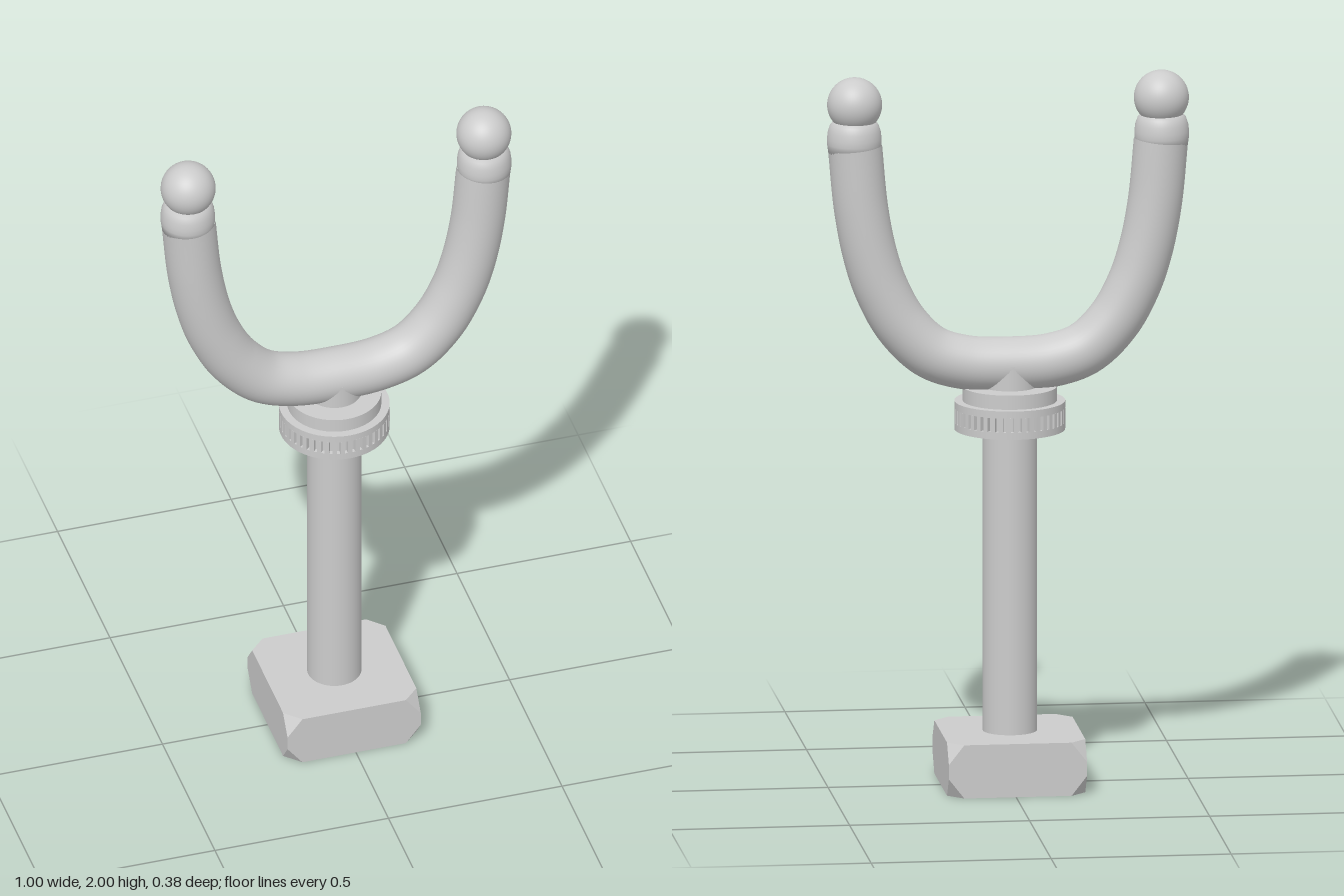
import * as THREE from 'three';
import { ConvexGeometry } from 'three/addons/geometries/ConvexGeometry.js';

const material = new THREE.MeshStandardMaterial({ color: 0xcccccc });
const AXIS_X = -0.005; // the stem sits a hair off the fork's centre

function add(parent, name, geometry, x = 0, y = 0, z = 0) {
  const mesh = new THREE.Mesh(geometry, material);
  mesh.name = name;
  mesh.position.set(x, y, z);
  parent.add(mesh);
  return mesh;
}

// upright cylinder from y0 to y1
function disc(parent, name, r, y0, y1, sides = 64) {
  return add(parent, name, new THREE.CylinderGeometry(r, r, y1 - y0, sides), AXIS_X, (y0 + y1) / 2);
}

// block with its eight corners cut off
function cutCornerBlock(w, h, d, cut, cutY) {
  const points = [];
  for (const sx of [-1, 1]) for (const sy of [-1, 1]) for (const sz of [-1, 1]) {
    const x = sx * w / 2, y = sy * h / 2, z = sz * d / 2;
    points.push(
      new THREE.Vector3(x - sx * cut, y, z),
      new THREE.Vector3(x, y - sy * cutY, z),
      new THREE.Vector3(x, y, z - sz * cut));
  }
  return new ConvexGeometry(points);
}

export function createModel() {
  const model = new THREE.Group();
  model.name = 'forkOnStem';

  // foot and stem
  add(model, 'base', cutCornerBlock(0.384, 0.15, 0.38, 0.043, 0.055), AXIS_X, 0.075);
  disc(model, 'stem', 0.075, 0.15, 1.0);
  disc(model, 'neck', 0.075, 1.08, 1.188);

  // knurled collar
  const collar = new THREE.Group();
  collar.name = 'collar';
  model.add(collar);
  disc(collar, 'lowerFlange', 0.153, 1.0, 1.02);
  disc(collar, 'knurlCore', 0.14, 1.02, 1.06);
  disc(collar, 'upperFlange', 0.153, 1.06, 1.08);
  disc(collar, 'upperRing', 0.13, 1.08, 1.12);
  const teeth = 44;
  for (let i = 0; i < teeth; i++) {
    const a = (i / teeth) * Math.PI * 2;
    const tooth = add(collar, 'knurlTooth', new THREE.BoxGeometry(0.013, 0.04, 0.02),
      AXIS_X + Math.sin(a) * 0.143, 1.04, Math.cos(a) * 0.143);
    tooth.rotation.y = a;
  }

  // U-shaped fork: half a path, mirrored
  const half = [[0.12, 1.19], [0.215, 1.222], [0.295, 1.3], [0.35, 1.4], [0.383, 1.5], [0.408, 1.63], [0.425, 1.805]];
  const path = [
    ...half.map(([x, y]) => new THREE.Vector3(-x, y, 0)).reverse(),
    new THREE.Vector3(0, 1.183, 0),
    ...half.map(([x, y]) => new THREE.Vector3(x, y, 0)),
  ];
  add(model, 'fork', new THREE.TubeGeometry(new THREE.CatmullRomCurve3(path), 120, 0.075, 40));

  // rounded end caps and balls
  const capProfile = [[0, 1.79], [0.072, 1.79], [0.0755, 1.815], [0.0755, 1.83], [0.073, 1.85], [0.067, 1.868], [0.056, 1.88], [0, 1.885]]
    .map(([r, y]) => new THREE.Vector2(r, y));
  for (const side of [-1, 1]) {
    const name = side > 0 ? 'left' : 'right';
    add(model, name + 'EndCap', new THREE.LatheGeometry(capProfile, 48), side * 0.427);
    add(model, name + 'Ball', new THREE.SphereGeometry(0.076, 48, 32), side * 0.426, 1.924);
  }
  return model;
}
